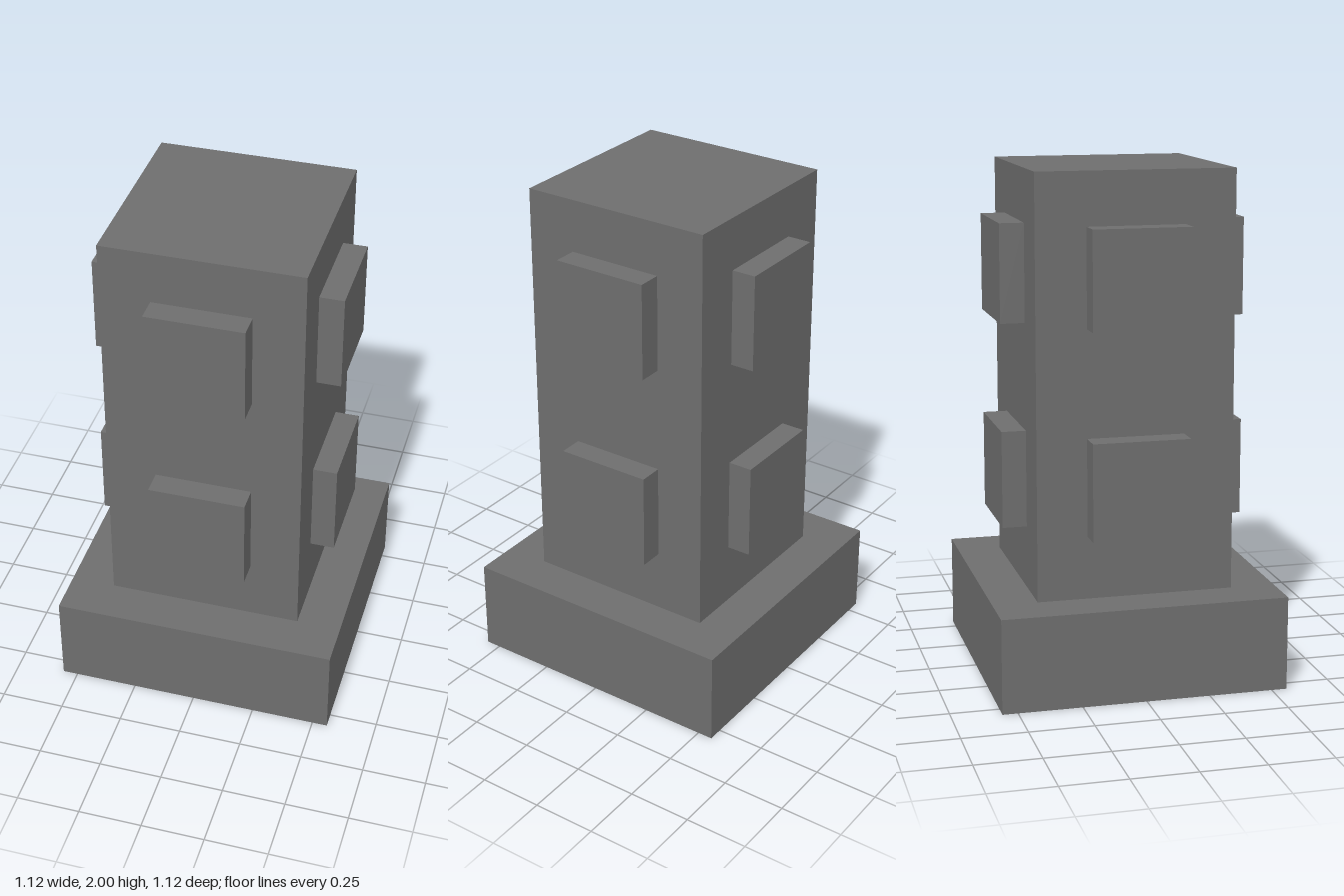
import * as THREE from 'three';

export function createModel() {
  const model = new THREE.Group();
  model.name = 'blockTower';
  const stone = new THREE.MeshStandardMaterial({ color: 0x6e6e6e });
  stone.name = 'dark grey';

  // Box standing on the height y
  const addBox = (parent, name, w, h, d, x, y, z) => {
    const mesh = new THREE.Mesh(new THREE.BoxGeometry(w, h, d), stone);
    mesh.name = name;
    mesh.position.set(x, y + h / 2, z);
    parent.add(mesh);
  };

  // Base slab and square column
  addBox(model, 'base', 1.12, 0.37, 1.12, 0, 0, 0);
  addBox(model, 'column', 0.77, 1.63, 0.77, 0, 0.37, 0);

  // Two raised panels on each of the four sides
  ['front', 'left', 'back', 'right'].forEach((side, i) => {
    const group = new THREE.Group();
    group.name = side + 'Panels';
    group.rotation.y = i * Math.PI / 2;
    addBox(group, 'lowerPanel', 0.38, 0.38, 0.095, 0, 0.617, 0.4325);
    addBox(group, 'upperPanel', 0.38, 0.38, 0.095, 0, 1.415, 0.4325);
    model.add(group);
  });

  return model;
}
